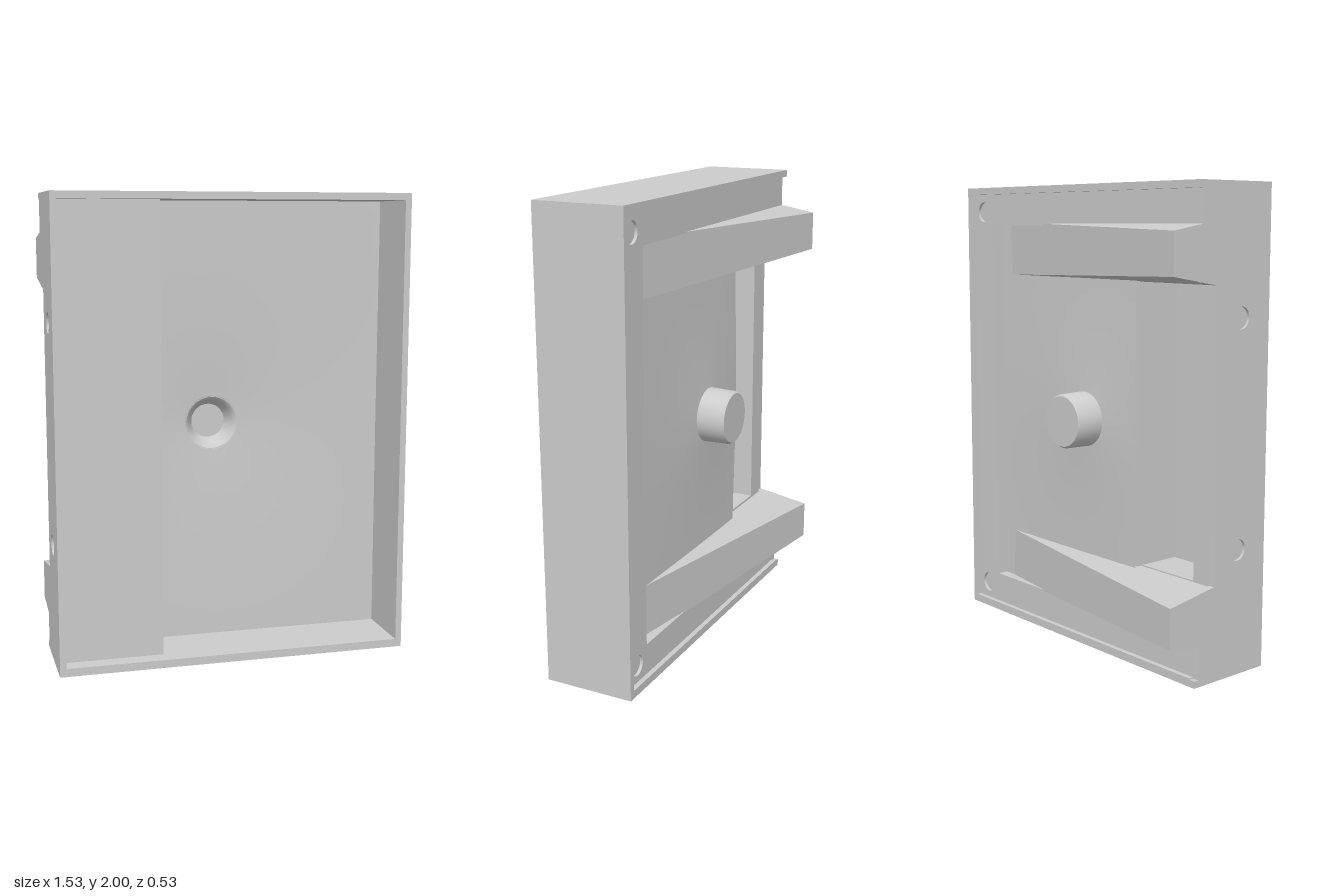
import * as THREE from 'three';
import { toCreasedNormals } from 'three/addons/utils/BufferGeometryUtils.js';
import { ConvexGeometry } from 'three/addons/geometries/ConvexGeometry.js';

const DRAIN = { x: -0.035, y: 1.0, r: 0.115 };

export function createModel() {
  const group = new THREE.Group();
  const mat = new THREE.MeshStandardMaterial({ color: 0xcccccc });
  const thin = new THREE.MeshStandardMaterial({ color: 0xcccccc, side: THREE.DoubleSide });

  const add = (name, geometry, material = mat) => {
    const mesh = new THREE.Mesh(geometry, material);
    mesh.name = name;
    group.add(mesh);
    return mesh;
  };
  const polygon = (pts) => new THREE.Shape(pts.map(([a, b]) => new THREE.Vector2(a, b)));
  const circleHole = (a, b, r) => new THREE.Path().absarc(a, b, r, 0, Math.PI * 2, true);

  // Extrude an (x, y) outline between two depths
  const slabZ = (name, shape, z0, z1) => {
    const g = new THREE.ExtrudeGeometry(shape, { depth: z1 - z0, bevelEnabled: false, curveSegments: 24 });
    return add(name, g.translate(0, 0, z0));
  };
  // Extrude a (-z, y) outline between two x positions
  const slabX = (name, shape, x0, x1) => {
    const g = new THREE.ExtrudeGeometry(shape, { depth: x1 - x0, bevelEnabled: false, curveSegments: 24 });
    return add(name, g.rotateY(Math.PI / 2).translate(x0, 0, 0));
  };
  const box = (name, x0, x1, y0, y1, z0, z1) =>
    add(name, new THREE.BoxGeometry(x1 - x0, y1 - y0, z1 - z0)
      .translate((x0 + x1) / 2, (y0 + y1) / 2, (z0 + z1) / 2));

  // Thin outer walls on three sides, forming the front rim and rear lip
  slabZ('outerWalls', polygon([
    [-0.74, 0], [0.762, 0], [0.762, 2], [-0.74, 2],
    [-0.74, 1.97], [0.735, 1.97], [0.735, 0.035], [-0.74, 0.035],
  ]), -0.13, 0.267);

  // Mounting side panel, cut back in the middle, with two shallow holes
  const panel = polygon([
    [-0.267, 0], [0.13, 0], [0.13, 0.03], [0.108, 0.03], [0.108, 0.387], [0.025, 0.4],
    [0.025, 1.6], [0.108, 1.613], [0.108, 1.97], [0.13, 1.97], [0.13, 2], [-0.267, 2],
  ]);
  for (const y of [0.53, 1.47]) {
    panel.holes.push(circleHole(-0.107, y, 0.045));
    add('sideHoleFloor', new THREE.CylinderGeometry(0.045, 0.045, 0.015, 32).rotateZ(Math.PI / 2))
      .position.set(-0.7475, y, 0.107);
  }
  slabX('mountingSidePanel', panel, -0.767, -0.74);

  // Shelf beside the basin and the solid block around its hollow underside
  box('shelf', -0.745, -0.31, 0.03, 1.975, 0.165, 0.195);
  slabZ('shelfBlock', polygon([
    [-0.33, 0.03], [-0.33, 0.4], [-0.65, 0.4], [-0.65, 1.6], [-0.33, 1.6],
    [-0.33, 1.975], [-0.74, 1.975], [-0.74, 0.03],
  ]), -0.025, 0.17);

  // Step wall between shelf and basin, with the overflow slot
  const step = polygon([[-0.18, 0.03], [0.05, 0.03], [0.05, 1.975], [-0.18, 1.975]]);
  const slot = new THREE.Path();
  slot.absarc(-0.135, 1.14, 0.014, 0, Math.PI, false);
  slot.absarc(-0.135, 0.86, 0.014, Math.PI, Math.PI * 2, false);
  slot.closePath();
  step.holes.push(slot);
  slabX('stepWall', step, -0.33, -0.31);
  box('stepWallBacking', -0.345, -0.329, 0.39, 1.61, -0.05, 0.17);

  // Rear flange with shallow corner holes and a large opening
  const flange = polygon([
    [-0.74, 0.03], [0.74, 0.03], [0.74, 1.975], [-0.74, 1.975],
    [-0.74, 1.83], [0.585, 1.83], [0.585, 0.17], [-0.74, 0.17],
  ]);
  for (const y of [0.11, 1.89]) {
    flange.holes.push(circleHole(0.665, y, 0.045));
    add('cornerHoleFloor', new THREE.CylinderGeometry(0.045, 0.045, 0.05, 32).rotateX(Math.PI / 2))
      .position.set(0.665, y, -0.07);
  }
  slabZ('rearFlange', flange, -0.108, -0.035);

  // Basin floor and its underside, dipping towards the drain
  const floor = (name, x0, offset) => {
    const x1 = 0.745, y0 = 0.025, y1 = 1.98, rings = 8;
    const angles = [];
    for (let i = 0; i < 96; i++) angles.push(-Math.PI + ((i + 0.5) / 96) * Math.PI * 2);
    for (const x of [x0, x1]) for (const y of [y0, y1]) angles.push(Math.atan2(y - DRAIN.y, x - DRAIN.x));
    angles.sort((a, b) => a - b);
    const pos = [], index = [], n = angles.length;
    angles.forEach((a) => {
      const c = Math.cos(a), s = Math.sin(a);
      const reach = Math.min(((c > 0 ? x1 : x0) - DRAIN.x) / c, ((s > 0 ? y1 : y0) - DRAIN.y) / s);
      for (let k = 0; k <= rings; k++) {
        const d = DRAIN.r + (reach - DRAIN.r) * (k / rings);
        pos.push(DRAIN.x + c * d, DRAIN.y + s * d, -0.018 - 0.04 * Math.exp(-d / 0.4) + offset);
      }
    });
    for (let i = 0; i < n; i++) for (let k = 0; k < rings; k++) {
      const a = i * (rings + 1) + k, b = ((i + 1) % n) * (rings + 1) + k;
      index.push(a, a + 1, b + 1, a, b + 1, b);
    }
    const g = new THREE.BufferGeometry();
    g.setAttribute('position', new THREE.Float32BufferAttribute(pos, 3));
    g.setIndex(index);
    g.computeVertexNormals();
    add(name, g, thin);
  };
  floor('basinFloor', -0.32, 0);
  floor('basinUnderside', -0.345, -0.04);

  // Drain cup in front and outlet stub behind
  const lathe = (name, pts) => {
    const g = new THREE.LatheGeometry(pts.map(([r, z]) => new THREE.Vector2(r, z)), 48);
    add(name, toCreasedNormals(g.rotateX(Math.PI / 2), 0.6), thin).position.set(DRAIN.x, DRAIN.y, 0);
  };
  lathe('drainCup', [[0.12, -0.047], [0.108, -0.055], [0.098, -0.07], [0.078, -0.11], [0.075, -0.118], [0, -0.118]]);
  lathe('drainOutlet', [[0.12, -0.07], [0.117, -0.2], [0.109, -0.212], [0, -0.212]]);

  // Two wedge brackets with tapered sides, running out into the basin underside
  for (const y of [0.275, 1.725]) {
    const half = (z) => 0.085 + 0.167 * (z + 0.267);
    const pts = [];
    for (const x of [-0.767, 0.586]) {
      for (const z of [-0.267 + 0.16 * (x + 0.767), -0.035]) {
        for (const s of [-1, 1]) pts.push(new THREE.Vector3(x, y + s * half(z), z));
      }
    }
    add(y > 1 ? 'upperBracket' : 'lowerBracket', new ConvexGeometry(pts));
  }

  return group;
}
